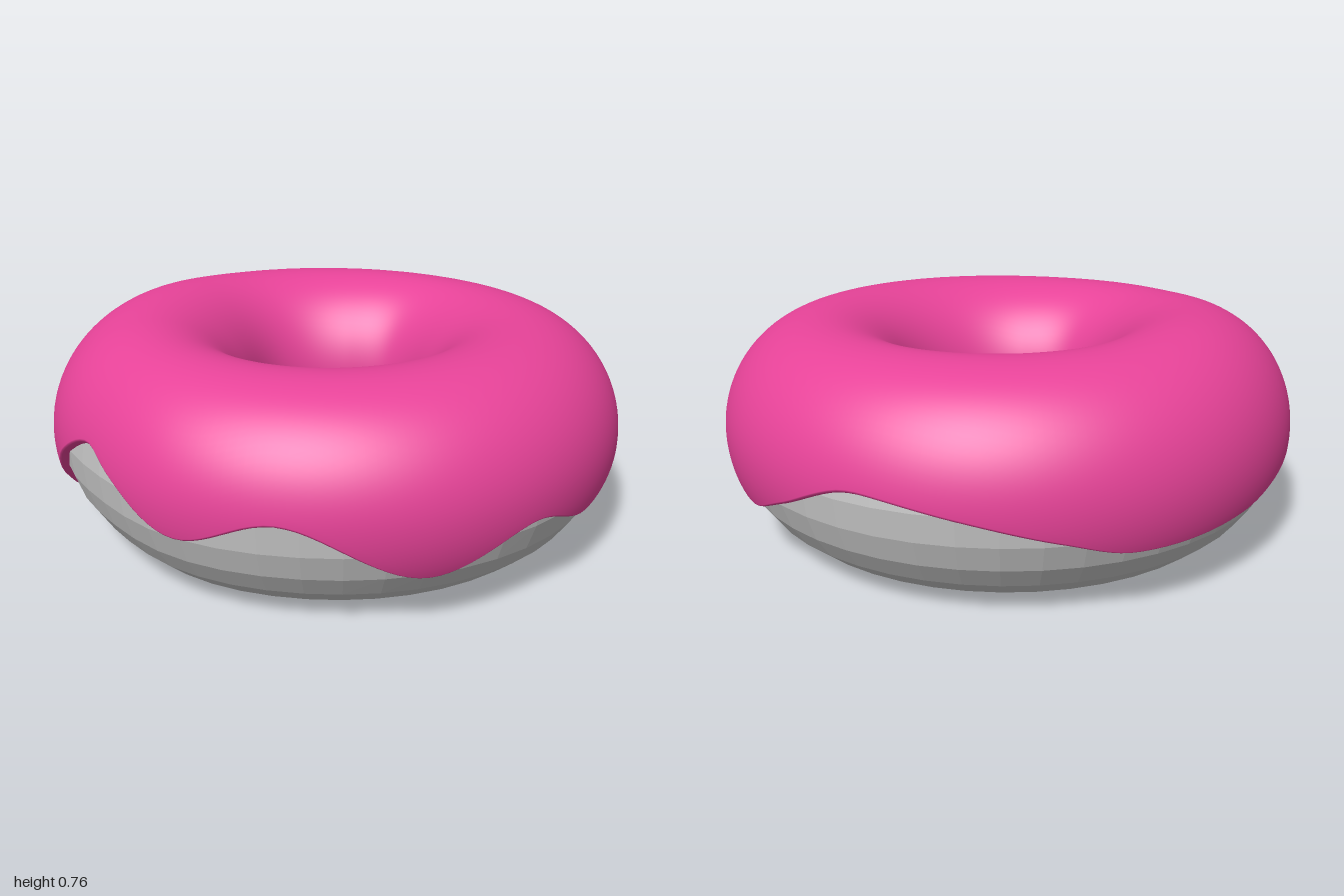
import * as THREE from 'three';

const CENTRE_R = 0.645, CENTRE_Y = 0.365, GAP = 0.025;

// Smooth closed curve through [degrees, value] keys
function loopCurve(keys) {
  const n = keys.length;
  const key = i => {
    const k = ((i % n) + n) % n;
    return [keys[k][0] + 360 * Math.floor(i / n), keys[k][1]];
  };
  const slope = i => (key(i + 1)[1] - key(i - 1)[1]) / (key(i + 1)[0] - key(i - 1)[0]);
  return deg => {
    let i = -1;
    while (key(i + 1)[0] <= deg) i++;
    const [a0, v0] = key(i), [a1, v1] = key(i + 1);
    const w = a1 - a0, t = (deg - a0) / w, t2 = t * t, t3 = t2 * t;
    return v0 * (2 * t3 - 3 * t2 + 1) + v1 * (3 * t2 - 2 * t3)
      + w * (slope(i) * (t3 - 2 * t2 + t) + slope(i + 1) * (t3 - t2));
  };
}

// Uneven ring: angles run from +x towards +z
const outerRadius = loopCurve([[0, 1], [60, 0.998], [90, 0.99], [115, 0.99], [137, 0.972], [160, 0.997], [200, 1], [280, 1]]);
const holeRadius = loopCurve([[0, 0.3], [45, 0.285], [90, 0.29], [125, 0.32], [180, 0.285], [225, 0.315], [270, 0.31], [300, 0.335], [335, 0.305]]);
const topHeight = loopCurve([[0, 0.735], [90, 0.717], [135, 0.728], [160, 0.745], [198, 0.762], [235, 0.745], [290, 0.735]]);

// Heights of the dripping icing edge, outside and in the hole
const dripHeight = loopCurve([[7, 0.34], [30, 0.23], [47, 0.3], [68, 0.18], [93, 0.37], [113, 0.275],
  [129, 0.4], [138, 0.46], [150, 0.36], [160, 0.2], [168, 0.09], [175, 0.17], [185, 0.3], [198, 0.28],
  [213, 0.235], [239, 0.22], [252, 0.28], [268, 0.35], [285, 0.4], [292, 0.39], [305, 0.29], [320, 0.2],
  [332, 0.26], [345, 0.33]]);
const innerEdgeHeight = loopCurve([[0, 0.34], [45, 0.35], [90, 0.34], [135, 0.32], [180, 0.36], [225, 0.34], [290, 0.35]]);

// Point on the ring's cross-section, sunk below the icing surface by inset
function ringPoint(deg, phi, inset) {
  const c = Math.cos(phi), s = Math.sin(phi), a = THREE.MathUtils.degToRad(deg);
  const halfWidth = (c > 0 ? outerRadius(deg) - CENTRE_R : CENTRE_R - holeRadius(deg)) - inset;
  const halfHeight = (s > 0 ? topHeight(deg) - CENTRE_Y : CENTRE_Y + GAP) - inset;
  const r = CENTRE_R + halfWidth * c;
  return [r * Math.cos(a), CENTRE_Y + halfHeight * s, r * Math.sin(a)];
}

// Skin of columns around the ring, each with rows along its cross-section
function ringSurface(columns, rows, pointAt) {
  const positions = [], index = [];
  for (let i = 0; i < columns; i++) {
    for (let j = 0; j < rows; j++) positions.push(...pointAt(i * 360 / columns, j));
  }
  for (let i = 0; i < columns; i++) {
    for (let j = 0; j < rows - 1; j++) {
      const p = i * rows + j, q = ((i + 1) % columns) * rows + j;
      index.push(p, p + 1, q, q, p + 1, q + 1);
    }
  }
  const g = new THREE.BufferGeometry();
  g.setAttribute('position', new THREE.Float32BufferAttribute(positions, 3));
  g.setIndex(index);
  g.computeVertexNormals();
  return g;
}

function doughGeometry() {
  const sides = 24;
  const indexed = ringSurface(48, sides + 1, (deg, j) => ringPoint(deg, j / sides * Math.PI * 2, GAP));
  const g = indexed.toNonIndexed(); // faceted
  g.computeVertexNormals();
  return g;
}

function icingGeometry() {
  const rim = 5, main = 44, rows = main + 2 * rim;
  const edgeAngle = y => Math.asin((y - CENTRE_Y) / (y > CENTRE_Y ? 0.37 : CENTRE_Y + GAP));
  return ringSurface(192, rows, (deg, j) => {
    const soft = 0.04;
    const start = edgeAngle(dripHeight(deg)) + soft;
    const end = Math.PI - edgeAngle(innerEdgeHeight(deg)) - soft;
    // Rounded rims tuck the icing into the dough
    const k = Math.max(rim - j, j - (rows - 1 - rim), 0) / rim * Math.PI / 2;
    const t = THREE.MathUtils.clamp((j - rim) / (rows - 1 - 2 * rim), 0, 1);
    const roll = soft * Math.sin(k) * (j < rim ? -1 : 1);
    return ringPoint(deg, start + (end - start) * t + roll, 0.032 * (1 - Math.cos(k)));
  });
}

export function createModel() {
  const doughGrey = new THREE.MeshStandardMaterial({ color: 0xc6c6c6 });
  doughGrey.name = 'doughGrey';
  const icingPink = new THREE.MeshStandardMaterial({ color: 0xe84399 });
  icingPink.name = 'icingPink';

  const dough = new THREE.Mesh(doughGeometry(), doughGrey);
  dough.name = 'dough';
  const icing = new THREE.Mesh(icingGeometry(), icingPink);
  icing.name = 'icing';

  const model = new THREE.Group();
  model.name = 'doughnut';
  model.add(dough, icing);
  return model;
}
